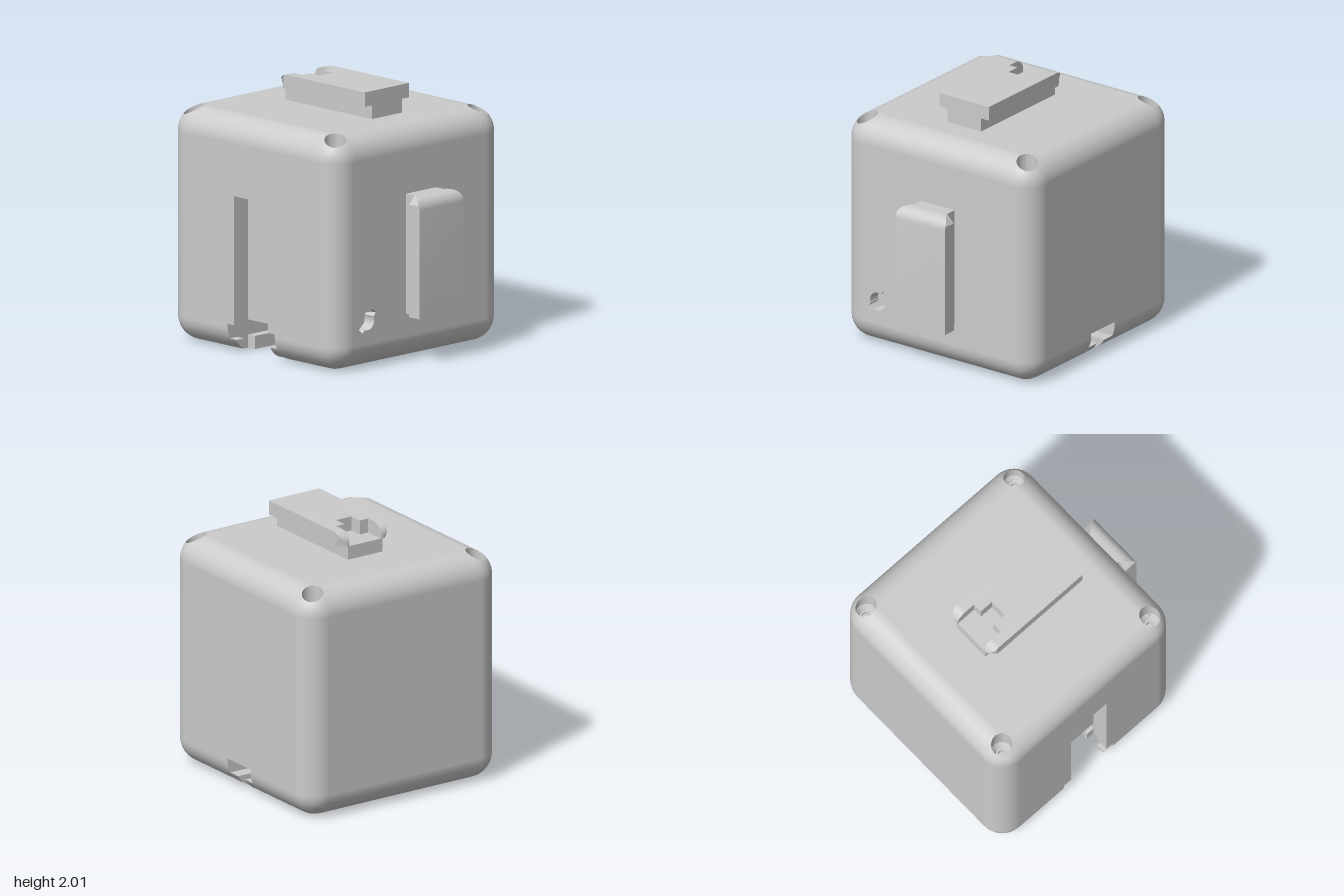
import * as THREE from 'three';
import { toCreasedNormals } from 'three/addons/utils/BufferGeometryUtils.js';

const mat = new THREE.MeshStandardMaterial({ color: 0xcccccc, side: THREE.DoubleSide });

// Body size: half widths, height, edge radius, half extents of the flat faces
const HX = 0.885, HZ = 0.89, H = 1.79, R = 0.19, SEG = 8;
const AX = HX - R, AZ = HZ - R, YM = H / 2, AY = YM - R;
// Slot sizes: lip thickness, cavity depth, half widths, end positions
const LIP = 0.1, DEEP = 0.215, RAIL = 0.18, CAVITY = 0.25, SLIT = 0.045, CABLE = 0.145;
const SLOT_X = 0.33, SLOT_Y = 1.2;
// Margin of the top corner patches
const M = 0.05;

const poly = pts => new THREE.Shape(pts.map(([x, y]) => new THREE.Vector2(x, y)));
const rect = (w, h) => poly([[-w, -h], [w, -h], [w, h], [-w, h]]);

function add(group, name, geometry, x = 0, y = 0, z = 0) {
  const mesh = new THREE.Mesh(geometry, mat);
  mesh.name = name;
  mesh.position.set(x, y, z);
  group.add(mesh);
  return mesh;
}

function box(group, name, x0, x1, y0, y1, z0, z1) {
  const g = new THREE.BoxGeometry(Math.abs(x1 - x0), Math.abs(y1 - y0), Math.abs(z1 - z0));
  add(group, name, g, (x0 + x1) / 2, (y0 + y1) / 2, (z0 + z1) / 2);
}

// Extrusion along z between z0 and z1
function slab(group, name, shape, z0, z1) {
  const g = new THREE.ExtrudeGeometry(shape, { depth: Math.abs(z1 - z0), bevelEnabled: false });
  add(group, name, g, 0, 0, Math.min(z0, z1));
}

// Points on the rounded bottom edge at side s, from angle a to b above the underside
function bottomArc(s, a, b) {
  return Array.from({ length: SEG + 1 }, (_, i) => {
    const t = a + (b - a) * i / SEG;
    return [s * (AX + R * Math.sin(t)), R - R * Math.cos(t)];
  });
}

// Open quarter cylinder along y, in the quadrant given by the signs
function quarter(sx, sz, length) {
  const k = sx > 0 ? (sz > 0 ? 0 : 1) : (sz > 0 ? 3 : 2);
  return new THREE.CylinderGeometry(R, R, length, SEG, 1, true, k * Math.PI / 2, Math.PI / 2);
}

function loft(rows) {
  const n = rows[0].length, index = [];
  for (let r = 0; r < rows.length - 1; r++) {
    for (let i = 0; i < n - 1; i++) {
      const a = r * n + i, b = a + n;
      index.push(a, b, a + 1, b, b + 1, a + 1);
    }
  }
  const g = new THREE.BufferGeometry();
  g.setAttribute('position', new THREE.Float32BufferAttribute(rows.flat(2), 3));
  g.setIndex(index);
  g.computeVertexNormals();
  return g;
}

// Rounded top corner pierced by a screw hole
function screwCorner(group, sx, sz) {
  const h = 0.05, r = 0.08, floor = 1.6;
  const steps = Array.from({ length: SEG + 1 }, (_, i) => i / SEG * Math.PI / 2);
  const outline = [
    [-M, -M], ...steps.map(t => [R * Math.sin(t), -M]),
    ...steps.map(t => [R * Math.cos(t), R * Math.sin(t)]),
    ...steps.map(t => [-M, R * Math.cos(t)]), [-M, -M],
  ];
  const place = (u, v, y) => [sx * (AX + u), y, sz * (AZ + v)];
  const top = (u, v) => H - R + Math.sqrt(Math.max(0, R * R - Math.max(u, 0) ** 2 - Math.max(v, 0) ** 2));
  const rim = outline.map(([u, v]) => {
    const d = Math.hypot(u - h, v - h);
    return [h + (u - h) / d * r, h + (v - h) / d * r];
  });
  const rows = [];
  for (let j = 0; j <= 8; j++) {
    const s = 1 - (1 - j / 8) ** 2;
    rows.push(outline.map(([u, v], i) => {
      const a = rim[i][0] + (u - rim[i][0]) * s, b = rim[i][1] + (v - rim[i][1]) * s;
      return place(a, b, top(a, b));
    }));
  }
  add(group, 'topCorner', loft(rows));
  add(group, 'screwHole', loft([rim.map(([u, v]) => place(u, v, top(u, v))), rim.map(([u, v]) => place(u, v, floor))]));
  const seat = [[r, 0], [0.047, -0.06], [0.045, -0.04], [0.03, -0.04], [0.028, -0.07], [0, -0.07]];
  const lathe = new THREE.LatheGeometry(seat.map(([x, y]) => new THREE.Vector2(x, y)), 20);
  add(group, 'screw', toCreasedNormals(lathe, 0.5), sx * (AX + h), floor, sz * (AZ + h));
}

// Outer shell: flat faces, rounded edges and corners
function buildShell(group) {
  // Key-shaped hole: a disc crossed by a diagonal bar
  const key = [];
  for (let k = 0; k < 2; k++) {
    const base = Math.PI * (0.25 + k), a0 = Math.asin(0.025 / 0.07), c = Math.cos(base), s = Math.sin(base);
    for (const w of [-0.025, 0.025]) key.push([0.1 * c - w * s, 0.1 * s + w * c]);
    for (let i = 0; i <= 10; i++) {
      const t = base + a0 + (Math.PI - 2 * a0) * i / 10;
      key.push([0.07 * Math.cos(t), 0.07 * Math.sin(t)]);
    }
  }
  const front = rect(AX, AY);
  front.holes.push(poly(key.map(([x, y]) => [x - 0.545, y + 0.365 - YM])));
  const frontGeo = new THREE.ExtrudeGeometry(front, { depth: 0.1, bevelEnabled: false });
  add(group, 'frontFace', frontGeo, 0, YM, HZ - 0.1);
  box(group, 'keyHoleBack', -0.68, -0.41, 0.23, 0.5, HZ - 0.12, HZ - 0.1);

  const flat = s => new THREE.ShapeGeometry(s);
  add(group, 'backFace', flat(rect(AX, AY)).rotateY(Math.PI), 0, YM, -HZ);
  const notched = (w, y) => poly([[-AZ, R], [-w, R], [-w, y], [w, y], [w, R], [AZ, R], [AZ, H - R], [-AZ, H - R]]);
  add(group, 'leftFace', flat(notched(CABLE, DEEP)).rotateY(Math.PI / 2), HX);
  add(group, 'rightFace', flat(notched(CAVITY, SLOT_Y)).rotateY(-Math.PI / 2), -HX);
  const x = AX - M, z = AZ - M;
  const cross = poly([[-x, -AZ], [x, -AZ], [x, -z], [AX, -z], [AX, z], [x, z], [x, AZ], [-x, AZ], [-x, z], [-AX, z], [-AX, -z], [-x, -z]]);
  add(group, 'topFace', flat(cross).rotateX(-Math.PI / 2), 0, H);

  for (const s of [-1, 1]) {
    const half = [[AX, CABLE], [SLOT_X, CABLE], [SLOT_X, CAVITY], [-AX, CAVITY], [-AX, AZ], [AX, AZ]];
    add(group, 'bottomFace', flat(poly(half.map(([a, b]) => [a, s * b]))).rotateX(Math.PI / 2));
    // Edges along x
    add(group, 'topEdge', quarter(1, s, 2 * x).rotateZ(Math.PI / 2), 0, H - R, s * AZ);
    add(group, 'bottomEdge', quarter(-1, s, 2 * AX).rotateZ(Math.PI / 2), 0, R, s * AZ);
    for (const sx of [-1, 1]) {
      // Upright edges and edges along z, the lower ones broken by the slots
      add(group, 'uprightEdge', quarter(sx, s, 2 * AY), sx * AX, YM, s * AZ);
      const gap = sx > 0 ? CABLE : CAVITY;
      add(group, 'bottomEdge', quarter(sx, 1, AZ - gap).rotateX(Math.PI / 2), sx * AX, R, s * (AZ + gap) / 2);
      if (s > 0) add(group, 'topEdge', quarter(sx, -1, 2 * z).rotateX(Math.PI / 2), sx * AX, H - R, 0);
      const phi = (sx > 0 ? (s > 0 ? 1 : 2) : (s > 0 ? 0 : 3)) * Math.PI / 2;
      const ball = new THREE.SphereGeometry(R, SEG, SEG, phi, Math.PI / 2, Math.PI / 2, Math.PI / 2);
      add(group, 'bottomCorner', ball, sx * AX, R, s * AZ);
      screwCorner(group, sx, s);
    }
  }
}

// T-slots in the right side and the underside, and the narrow channel leading to the left
function buildSlots(group) {
  const full = Math.PI / 2, cut = Math.acos((R - LIP) / R);
  const inner = -HX + DEEP, e = 0.002;
  for (const s of [-1, 1]) {
    box(group, 'bottomSlotLip', inner, SLOT_X, 0, LIP, s * RAIL, s * CAVITY);
    box(group, 'sideSlotLip', -HX, -HX + LIP, DEEP, SLOT_Y, s * RAIL, s * CAVITY);
    slab(group, 'cornerLip', poly([...bottomArc(-1, full - cut, cut), [-HX + LIP, LIP]]), s * RAIL, s * CAVITY);
    const wall = [...bottomArc(-1, 0, full), [-HX, SLOT_Y], [inner, SLOT_Y], [inner, DEEP], [SLOT_X, DEEP], [SLOT_X, 0]];
    add(group, 'slotWall', new THREE.ShapeGeometry(poly(wall)), 0, 0, s * CAVITY);
    const cableWall = [[SLOT_X, 0], ...bottomArc(1, 0, full), [HX, DEEP], [SLOT_X, DEEP]];
    add(group, 'channelWall', new THREE.ShapeGeometry(poly(cableWall)), 0, 0, s * CABLE);
    slab(group, 'channelLip', poly([[SLOT_X, 0], ...bottomArc(1, 0, cut), [SLOT_X, LIP]]), s * SLIT, s * CABLE);
    box(group, 'bottomSlotEnd', SLOT_X, SLOT_X + 0.02, e, DEEP, s * CABLE, s * CAVITY);
  }
  box(group, 'bottomSlotFloor', inner, SLOT_X, DEEP, DEEP + 0.02, -CAVITY, CAVITY);
  box(group, 'channelFloor', SLOT_X, HX - e, DEEP, DEEP + 0.02, -CABLE, CABLE);
  box(group, 'sideSlotFloor', inner, inner + 0.02, DEEP, SLOT_Y, -CAVITY, CAVITY);
  box(group, 'sideSlotEnd', -HX + e, inner, SLOT_Y, SLOT_Y + 0.02, -CAVITY, CAVITY);
}

// T-rail running along y from 0 to L and standing out along z, rounded at its upper end
function rail(name, latch) {
  const g = new THREE.Group(), L = 0.92, W = 0.23, STEM = 0.105, T = 0.215, round = 0.09, plan = 0.06;
  g.name = name;
  box(g, 'railStem', -0.157, 0.157, 0, L - 0.005, -0.01, STEM);
  const head = (x0, x1, gap) => {
    const pts = [[0, STEM], [0, T]];
    if (gap) pts.push([L - gap, T]);
    else for (let i = 0; i <= 8; i++) {
      const t = i / 8 * Math.PI / 2;
      pts.push([L - round + round * Math.sin(t), T - round + round * Math.cos(t)]);
    }
    pts.push([L - gap, STEM], [L - gap - plan, STEM]);
    const geo = new THREE.ExtrudeGeometry(poly(pts), { depth: x1 - x0, bevelEnabled: false });
    const p = geo.attributes.position;
    // Turn profile (y, z) upright and round the end corners in plan
    for (let i = 0; i < p.count; i++) {
      const y = p.getX(i), k = Math.max(0, plan - (L - y));
      const w = W - plan + Math.sqrt(Math.max(0, plan * plan - k * k));
      p.setXYZ(i, Math.max(-w, Math.min(w, x0 + p.getZ(i))), y, p.getY(i));
    }
    add(g, 'railHead', toCreasedNormals(geo, 0.5));
  };
  if (latch) {
    // Stepped latch recess at the rounded end
    head(-W, -0.145, 0);
    head(0.145, W, 0);
    head(-0.145, -0.07, 0.17);
    head(0.07, 0.145, 0.17);
    head(-0.07, 0.07, 0.28);
  } else head(-W, W, 0);
  return g;
}

export function createModel() {
  const model = new THREE.Group();
  model.name = 'cubeModule';
  const body = new THREE.Group();
  body.name = 'body';
  body.position.z = -0.11;
  buildShell(body);
  buildSlots(body);

  const frontRail = rail('frontRail', false);
  frontRail.position.set(0.015, 0.36, 0.78);
  const topRail = rail('topRail', true);
  topRail.rotation.x = -Math.PI / 2;
  topRail.position.set(0, H, 0.43);
  model.add(body, frontRail, topRail);
  return model;
}
